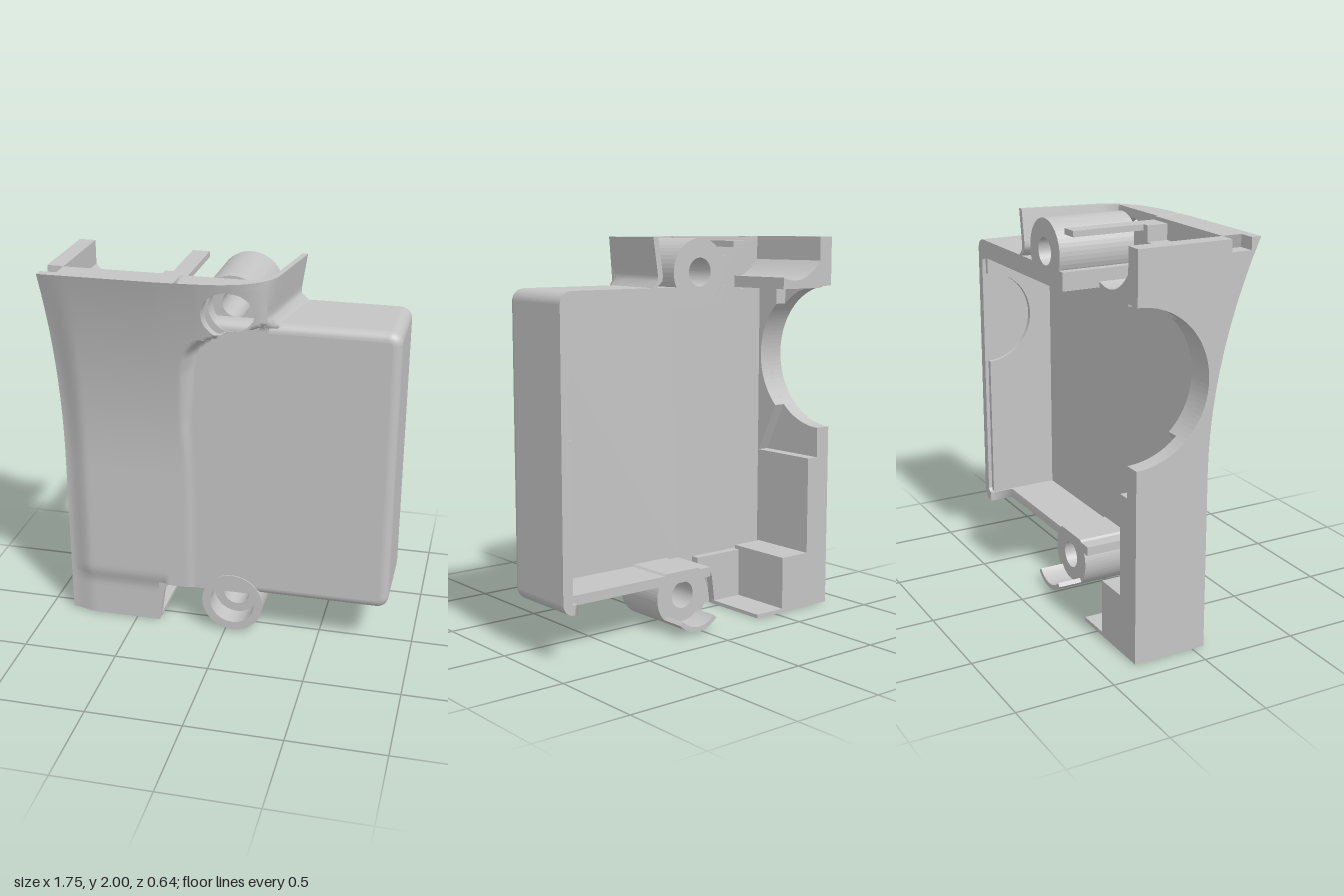
import * as THREE from 'three';

const grey = new THREE.MeshStandardMaterial({ color: 0xc4c4c4, side: THREE.DoubleSide });
grey.name = 'plastic grey';

const BACK = -0.32, LOW_BACK = -0.19, HOLE_X = 0.04;
const step = THREE.MathUtils.smoothstep, lerp = THREE.MathUtils.lerp;

// piecewise linear lookup in [key, value] pairs
function lookup(table, t) {
  if (t <= table[0][0]) return table[0][1];
  for (let i = 1; i < table.length; i++) {
    const [a, va] = table[i - 1], [b, vb] = table[i];
    if (t <= b) return va + (vb - va) * (t - a) / (b - a);
  }
  return table[table.length - 1][1];
}
const topCurve = [[-0.3, 0.32], [-0.1, 0.31], [0, 0.297], [0.08, 0.277], [0.14, 0.25], [0.19, 0.215], [0.22, 0.18]];
const flareEdge = [[0.9, -0.16], [1.2, -0.18], [1.5, -0.16], [1.6, -0.14], [1.66, -0.09], [1.72, 0.04], [1.78, 0.32]];

// forward flare towards the top: along the middle, and along the thinner outer edge
const rise = (y) => Math.max(0, (y - 0.9) / 1.1) ** 2;
const edgeZ = (y) => 0.065 + 0.255 * rise(y);
const middleZ = (y) => 0.12 + 0.2 * rise(y);

// outer front surface: a flat face that flares forward at the upper left
function frontZ(x, y) {
  const edge = lookup(flareEdge, y);
  const w = 1 - step(x, edge - 0.05, edge);
  const across = (lookup(topCurve, x) - 0.11) / 0.21;
  const z = 0.11 + (middleZ(y) - 0.11) * w * across;
  const swell = step(x, -0.88, -0.74) * (x > -0.33 ? 1 : lerp(0.55, 1, step(y, 0.19, 0.3)));
  return lerp(edgeZ(y), z, swell);
}

// surface from a rule point(u, v)
function grid(nu, nv, point) {
  const pos = [], idx = [];
  for (let j = 0; j <= nv; j++) for (let i = 0; i <= nu; i++) pos.push(...point(i / nu, j / nv));
  for (let j = 0; j < nv; j++) for (let i = 0; i < nu; i++) {
    const a = j * (nu + 1) + i, b = a + nu + 1;
    idx.push(a, a + 1, b + 1, a, b + 1, b);
  }
  const g = new THREE.BufferGeometry();
  g.setAttribute('position', new THREE.Float32BufferAttribute(pos, 3));
  g.setIndex(idx);
  g.computeVertexNormals();
  return g;
}

export function createModel() {
  const model = new THREE.Group();
  model.name = 'housingHalf';
  const add = (name, geo) => {
    const m = new THREE.Mesh(geo, grey);
    m.name = name;
    model.add(m);
  };
  const box = (name, x0, x1, y0, y1, z0, z1) => add(name, new THREE.BoxGeometry(x1 - x0, y1 - y0, z1 - z0)
    .translate((x0 + x1) / 2, (y0 + y1) / 2, (z0 + z1) / 2));
  const extrude = (shape, depth) =>
    new THREE.ExtrudeGeometry(shape, { depth, bevelEnabled: false, curveSegments: 24 });
  // part of the curved front over a rectangle
  const front = (name, x0, x1, y0, y1, nu, nv) => add(name, grid(nu, nv, (u, v) => {
    const x = lerp(x0, x1, u), y = lerp(y0, y1, v);
    return [x, y, frontZ(x, y)];
  }));

  // open-backed box: rounded outline, with insets for the front edge and the wall thickness
  const outline = (side, bottom = side, top = side) => {
    const r = 0.06 - side * 0.8, x1 = 0.87 - side, y0 = 0.24 + bottom, y1 = 1.76 - top;
    const pts = [[-0.15, y0], [0.79, y0], [0.79, y0]];
    for (const [cy, start] of [[y0 + r, -Math.PI / 2], [y1 - r, 0]])
      for (let i = 0; i <= 6; i++) {
        const a = start + i / 6 * Math.PI / 2;
        pts.push([x1 - r + r * Math.cos(a), cy + r * Math.sin(a)]);
      }
    pts.push([-0.15, y1]);
    return pts;
  };
  // the bottom wall stops short of the open back
  const loop = (z, ...insets) => outline(...insets).map(([x, y], i) => [x, y, i < 2 ? Math.max(z, LOW_BACK) : z]);
  const cap = (inset, z) => new THREE.ShapeGeometry(
    new THREE.Shape(outline(inset).map(([x, y]) => new THREE.Vector2(x, y)))).translate(0, 0, z);
  const INNER = [0.045, 0.05, 0.095];
  const rows = [loop(0.075, ...INNER), loop(BACK, ...INNER), loop(BACK, 0), loop(0.065, 0)];
  const nb = rows[0].length - 1;
  for (let k = 0; k < 3; k++)
    add('boxWall', grid(nb, 1, (u, v) => rows[k + v][Math.round(u * nb)]));
  const bevel = [];
  for (let i = 0; i <= 6; i++) {
    const a = i / 6 * Math.PI / 2;
    bevel.push(loop(0.065 + 0.045 * Math.sin(a), 0.045 * (1 - Math.cos(a))));
  }
  add('roundedFrontEdge', grid(nb, 6, (u, v) => bevel[Math.round(v * 6)][Math.round(u * nb)]));
  add('boxFront', cap(0.045, 0.11));
  add('boxFloor', cap(0.045, 0.075));
  box('topWallEnd', -0.151, -0.1, 1.666, 1.759, BACK, 0.07);
  box('bottomWallEnd', -0.151, -0.1, 0.241, 0.289, LOW_BACK, 0.07);

  // inner layer of the side wall with a half-round recess
  const liner = new THREE.Shape();
  liner.moveTo(0.3, 0.28);
  liner.lineTo(0.3, 1.07);
  liner.absarc(0.3, 1.32, 0.25, -Math.PI / 2, Math.PI / 2, true);
  liner.lineTo(0.3, 1.68);
  liner.lineTo(-0.075, 1.68);
  liner.lineTo(-0.075, 0.28);
  add('sideWallLiner', extrude(liner, 0.03).rotateY(Math.PI / 2).translate(0.8, 0, 0));

  // flared front, its top rim and the flat inside
  front('flaredFront', -0.88, 0.15, 0.24, 1.69, 72, 60);
  front('flaredFrontTop', -0.88, -0.2, 1.69, 2, 24, 12);
  front('footSkin', -0.88, -0.37, 0, 0.24, 24, 10);
  add('topRim', grid(24, 1, (u, v) => {
    const x = -0.795 + u * 0.595;
    return [x, 2, v ? 0.17 : frontZ(x, 2)];
  }));
  box('innerPlate', -0.8, -0.1, 0.24, 1.72, 0.075, 0.085);
  box('innerTopPlate', -0.8, -0.19, 1.7, 1.999, 0.17, 0.18);

  // hood around the upper screw hole: rectangle outside, circle inside
  const X0 = -0.2, X1 = 0.22, Y0 = 1.69, Y1 = 2, n = 16;
  const corners = [[X0, Y0], [X1, Y0], [X1, Y1], [X0, Y1], [X0, Y0]];
  const rim = [];
  for (let c = 0; c < 4; c++) for (let i = 0; i < n; i++)
    rim.push([0, 1].map((k) => lerp(corners[c][k], corners[c + 1][k], i / n)));
  rim.push(rim[0]);
  const hoodPoint = (t, s, inner) => {
    const [rx, ry] = rim[Math.round(t * 4 * n)];
    const a = Math.atan2(ry - 1.83, rx - HOLE_X);
    const x = lerp(rx, HOLE_X + 0.125 * Math.cos(a), s), y = lerp(ry, 1.83 + 0.125 * Math.sin(a), s);
    const z = frontZ(x, y);
    return [x, y, inner ? Math.min(0.18, z - 0.02) : z];
  };
  add('hood', grid(4 * n, 8, (u, v) => hoodPoint(u, v, false)));
  add('hoodInside', grid(4 * n, 8, (u, v) => hoodPoint(u, v, true)));
  add('hoodHole', grid(4 * n, 1, (u, v) => hoodPoint(u, 1, v > 0.5)));
  add('hoodRim', grid(4 * n, 1, (u, v) => hoodPoint(u, 0, v > 0.5)));

  // skirt curling back from the hood, spreading at its foot
  const skirtPath = [[0.22, 0.18], [0.245, 0.14], [0.262, 0.1], [0.28, 0], [0.295, -0.1], [0.315, -0.22], [0.33, BACK]];
  const skirt = (u, v, inset) => {
    const i = Math.round(u * 6), y = 1.74 + 0.26 * v;
    const lean = i ? -0.04 * (1 - v) + 0.06 * (1 - step(v, 0, 0.25)) : 0;
    const z = i ? Math.min(skirtPath[i][1], frontZ(0.22, y) - 0.01 * i) : frontZ(0.22, y);
    return [skirtPath[i][0] + lean - inset, y, z];
  };
  add('skirt', grid(6, 10, (u, v) => skirt(u, v, 0)));
  add('skirtInside', grid(6, 10, (u, v) => skirt(u, v, 0.03)));
  add('skirtTop', grid(6, 1, (u, v) => skirt(u, 1, 0.03 * v)));
  add('skirtEnd', grid(1, 10, (u, v) => skirt(1, v, 0.03 * u)));

  // side wall with a large half-round cut-out and a small slot in its top
  const wall = new THREE.Shape();
  wall.moveTo(0.32, 0);
  wall.lineTo(0.32, 0.98);
  wall.absarc(0.32, 1.36, 0.38, -Math.PI / 2, Math.PI / 2, true);
  for (const [z, y] of [[BACK, 2], [0.165, 2], [0.165, 1.94], [0.27, 1.94], [0.27, 2]]) wall.lineTo(-z, y);
  for (let i = 0; i <= 12; i++) wall.lineTo(-edgeZ(2 - i / 10), 2 - i / 10);
  wall.lineTo(-0.065, 0);
  add('cutOutWall', extrude(wall, 0.085).rotateY(Math.PI / 2).translate(-0.88, 0, 0));
  // thicker inner part of that wall, set back from the open side
  const half = Math.acos(0.26 / 0.38);
  const rib = new THREE.Shape();
  rib.moveTo(0.06, 0.8);
  rib.absarc(0.32, 1.36, 0.38, Math.PI + half, Math.PI - half, true);
  rib.lineTo(0.06, 1.73);
  rib.lineTo(-0.08, 1.73);
  rib.lineTo(-0.08, 0.8);
  add('cutOutThickening', extrude(rib, 0.07).rotateY(Math.PI / 2).translate(-0.8, 0, 0));

  // foot below the front, with a filleted corner
  const foot = new THREE.Shape();
  foot.moveTo(-0.78, 0);
  foot.lineTo(-0.375, 0);
  foot.lineTo(-0.355, 0.15);
  foot.quadraticCurveTo(-0.34, 0.235, -0.25, 0.242);
  foot.lineTo(-0.25, 0.28);
  foot.lineTo(-0.78, 0.28);
  add('footFront', extrude(foot, 0.045).translate(0, 0, 0.03));
  box('footFloor', -0.8, -0.37, 0, 0.02, BACK, 0.05);
  box('footBlock', -0.8, -0.55, 0.001, 0.3, BACK, 0.06);
  box('footColumn', -0.8, -0.73, 0.25, 0.82, BACK, 0.08);

  // cable saddle, filled step and thin rib at the top
  const saddle = new THREE.Shape();
  saddle.moveTo(-0.8, 1.73);
  saddle.lineTo(-0.53, 1.73);
  saddle.lineTo(-0.53, 1.79);
  saddle.quadraticCurveTo(-0.68, 1.73, -0.8, 1.88);
  add('cableSaddle', extrude(saddle, 0.5).translate(0, 0, BACK));
  box('saddleStep', -0.53, -0.31, 1.7, 1.9, 0.06, 0.175);
  box('topRib', -0.27, -0.18, 1.95, 1.98, BACK, 0.175);
  box('topRibFoot', -0.31, -0.18, 1.7, 1.98, 0.06, 0.175);

  // screw bosses with a counterbore, cut flat where they would reach into the cavity
  const boss = (name, y, back, recess, cut) => {
    for (const [hole, z0, z1, c] of [[0.07, back, recess, cut], [0.12, recess, 0.08, cut], [0.12, 0.08, 0.116, Math.PI / 2]]) {
      const s = new THREE.Shape();
      s.absarc(0, 0, 0.165, Math.PI - c, Math.PI * 2 + c, false);
      s.holes.push(new THREE.Path().absarc(0, 0, hole, 0, Math.PI * 2, true));
      add(name, extrude(s, z1 - z0).translate(HOLE_X, y, z0));
    }
  };
  boss('upperBoss', 1.83, BACK, 0.03, Math.PI / 2);
  boss('lowerBoss', 0.175, LOW_BACK, 0, Math.asin(0.125 / 0.165));

  // curved tongue behind the lower boss
  const tongue = new THREE.Shape();
  tongue.absarc(0, 0, 0.165, -Math.PI * 0.76, -Math.PI * 0.24, false);
  tongue.absarc(0, 0, 0.14, -Math.PI * 0.24, -Math.PI * 0.76, true);
  add('lowerTongue', extrude(tongue, 0.14).translate(HOLE_X, 0.175, BACK));

  return model;
}
